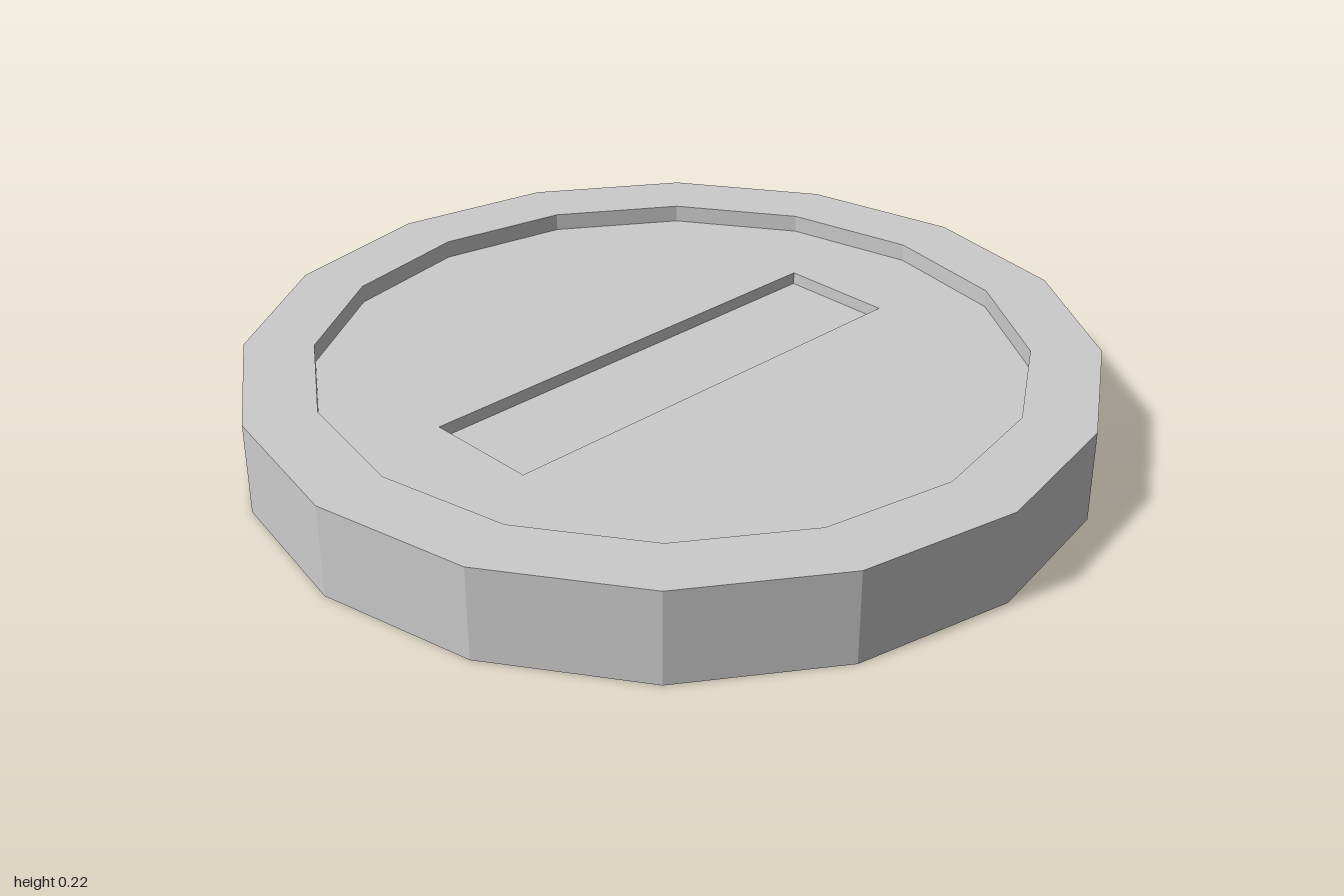
import * as THREE from 'three';

const SIDES = 16;
const HEIGHT = 0.22;
const INNER = 0.834;        // radius of the recessed field
const FIELD_DEPTH = 0.043;  // field below the rim
const SLOT_DEPTH = 0.03;    // slot below the field
const SLOT_X = 0.143, SLOT_Z = 0.575;

const material = new THREE.MeshStandardMaterial({ color: 0xcccccc, flatShading: true });

function mesh(name, geometry) {
  const m = new THREE.Mesh(geometry, material);
  m.name = name;
  return m;
}

// Raised rim: outer wall, top and bottom bands, and the inner lips
function makeRim() {
  const h = HEIGHT / 2, f = h - FIELD_DEPTH;
  const profile = [[INNER, -f], [INNER, -h], [1, -h], [1, h], [INNER, h], [INNER, f]];
  return mesh('rim', new THREE.LatheGeometry(profile.map(([r, y]) => new THREE.Vector2(r, y)), SIDES));
}

// One face: a recessed polygon field with a rectangular opening
function makeField() {
  const corners = Array.from({ length: SIDES }, (_, i) => {
    const a = (i / SIDES) * Math.PI * 2;
    return new THREE.Vector2(Math.cos(a) * INNER, Math.sin(a) * INNER);
  });
  const shape = new THREE.Shape(corners);
  shape.holes.push(new THREE.Path([[-1, -1], [-1, 1], [1, 1], [1, -1]]
    .map(([x, y]) => new THREE.Vector2(x * SLOT_X, y * SLOT_Z))));
  const field = mesh('field', new THREE.ShapeGeometry(shape).rotateX(-Math.PI / 2));
  field.position.y = HEIGHT / 2 - FIELD_DEPTH;
  return field;
}

// Slot pocket: a box without its lid, turned inside out
function makeSlot() {
  const box = new THREE.BoxGeometry(SLOT_X * 2, SLOT_DEPTH, SLOT_Z * 2);
  const open = Array.from(box.index.array).filter((_, i) => i < 12 || i >= 18);
  box.setIndex(open.reverse());
  box.computeVertexNormals();
  const slot = mesh('slot', box);
  slot.position.y = HEIGHT / 2 - FIELD_DEPTH - SLOT_DEPTH / 2;
  return slot;
}

function makeFace(name) {
  const face = new THREE.Group();
  face.name = name;
  face.add(makeField(), makeSlot());
  return face;
}

export function createModel() {
  const coin = new THREE.Group();
  coin.name = 'coin';
  const top = makeFace('topFace');
  const bottom = makeFace('bottomFace');
  bottom.rotation.x = Math.PI;
  coin.add(makeRim(), top, bottom);
  coin.position.y = HEIGHT / 2;

  const model = new THREE.Group();
  model.name = 'model';
  model.add(coin);
  return model;
}
